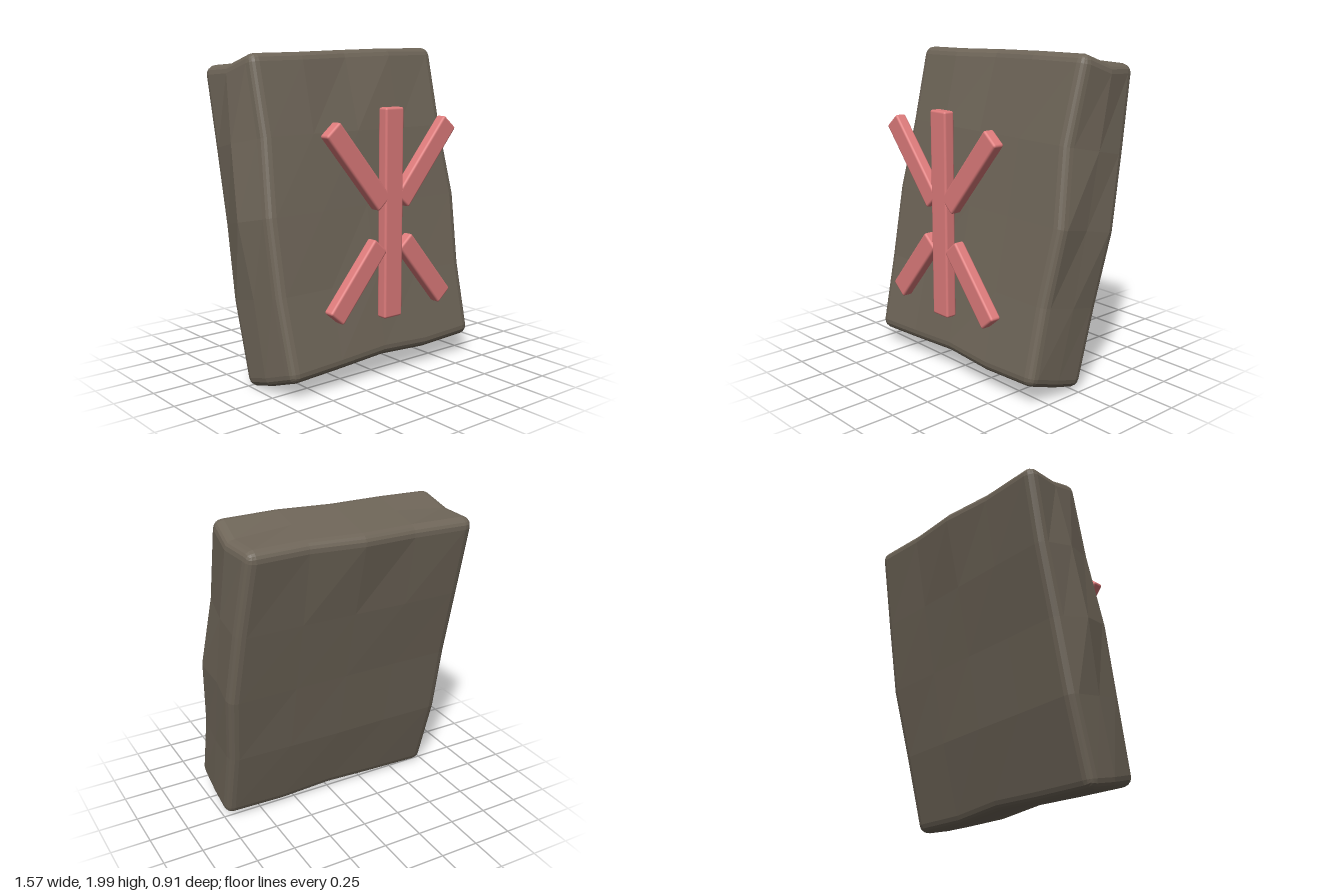
import * as THREE from 'three';
import { RoundedBoxGeometry } from 'three/addons/geometries/RoundedBoxGeometry.js';

const TILT = 0.21;
const BEVEL = 0.058;
const NODES = [4, 4, 2];
const HALF = [0.74, 0.977, 0.23];

// Side edges of the slab: x at each height, bottom to top, for back, middle and front
const LEFT_X = [
  [0.745, 0.75, 0.78, 0.755, 0.72],
  [0.745, 0.755, 0.76, 0.755, 0.745],
  [0.74, 0.74, 0.775, 0.727, 0.735],
];
const RIGHT_X = [
  [0.75, 0.755, 0.745, 0.742, 0.748],
  [0.745, 0.75, 0.785, 0.762, 0.73],
  [0.712, 0.73, 0.733, 0.697, 0.7],
];
// Unevenness along x of the top edge, the bottom edge and the depth of the top
const TOP_Y = [-0.022, -0.018, -0.002, 0.003, 0.008];
const BOTTOM_Y = [-0.01, 0.005, 0.025, 0.005, 0.018];
const TOP_Z = [0.003, 0.012, -0.012, 0.012, -0.002];
// Rise of the bottom and shift in depth of its edges, for back, middle and front
const BOTTOM_RISE = [0, 0.008, 0.027];
const BOTTOM_Z = [0.028, 0.01, 0.008];
// Swelling of the front face at each height
const FRONT_Z = [0, 0.005, 0.01, 0.016, 0];

// Repeatable value from -1 to 1 for a grid node
function jitter(i, j, k) {
  const s = Math.sin(i * 12.99 + j * 78.23 + k * 37.72) * 43758.55;
  return (s - Math.floor(s)) * 2 - 1;
}

// Splits a grid step into a coarse node and how far it lies into the bevel (-1..1)
function gridStep(index, nodes) {
  const last = nodes + 4;
  if (index < 2) return { node: 0, out: index / 2 - 1 };
  if (index > last - 2) return { node: nodes, out: 1 - (last - index) / 2 };
  return { node: index - 2, out: 0 };
}

// Rough-hewn block: uneven coarse nodes with rounded edges
function hewnSlab() {
  const steps = NODES.map((n) => n + 4);
  const geometry = new THREE.BoxGeometry(...steps, ...steps);
  const pos = geometry.attributes.position;
  const out = new THREE.Vector3();
  for (let v = 0; v < pos.count; v++) {
    const raw = [pos.getX(v), pos.getY(v), pos.getZ(v)];
    const g = raw.map((c, a) => gridStep(Math.round(c + steps[a] / 2), NODES[a]));
    const [i, j, k] = g.map((s) => s.node);
    let [x, y, z] = g.map((s, a) => ((2 * s.node) / NODES[a] - 1) * (HALF[a] - BEVEL));
    out.set(g[0].out, g[1].out, g[2].out).normalize().multiplyScalar(BEVEL);

    // sides
    if (i === 0) x = BEVEL - RIGHT_X[k][j];
    if (i === NODES[0]) x = LEFT_X[k][j] - BEVEL;
    // bottom, faces, and top with a dent in the middle of each end
    if (j === 0) {
      y += BOTTOM_Y[i] + BOTTOM_RISE[k];
      z += BOTTOM_Z[k];
    } else if (j === NODES[1]) {
      y += TOP_Y[i];
      if (k === 1 && i % NODES[0] === 0) y -= 0.025;
      z += TOP_Z[i];
    } else {
      z += 0.006 * jitter(i, j, k);
      if (k === NODES[2]) z += FRONT_Z[j];
    }
    pos.setXYZ(v, x + out.x, y + out.y, z + out.z);
  }

  // lean back and stand on the ground
  geometry.rotateX(-TILT);
  geometry.computeBoundingBox();
  geometry.translate(0, -geometry.boundingBox.min.y, -0.03);
  geometry.computeVertexNormals();
  return geometry;
}

export function createModel() {
  const model = new THREE.Group();
  model.name = 'standingStone';
  const stone = new THREE.MeshStandardMaterial({ color: 0x6e6558, flatShading: true });
  stone.name = 'stone';
  const red = new THREE.MeshStandardMaterial({ color: 0xdf7c7c });
  red.name = 'pale red';

  const slab = new THREE.Mesh(hewnSlab(), stone);
  slab.name = 'slab';
  model.add(slab);

  // Upright sign floating in front of the leaning slab
  const sign = new THREE.Group();
  sign.name = 'sign';
  sign.position.set(0.004, 0, 0.417);
  model.add(sign);
  const addBar = (name, x, y, width, length, angle) => {
    const bar = new THREE.Mesh(new RoundedBoxGeometry(width, length, 0.072, 2, 0.014), red);
    bar.name = name;
    bar.position.set(x, y, 0);
    bar.rotation.z = angle;
    sign.add(bar);
  };
  addBar('stem', 0, 1.022, 0.14, 1.265, 0);
  for (const [side, label] of [[1, 'left'], [-1, 'right']]) {
    addBar(label + 'UpperArm', side * 0.263, 1.321, 0.125, 0.6, -side * 0.7);
    addBar(label + 'LowerArm', side * 0.264, 0.65, 0.125, 0.52, side * 0.7);
  }
  return model;
}
